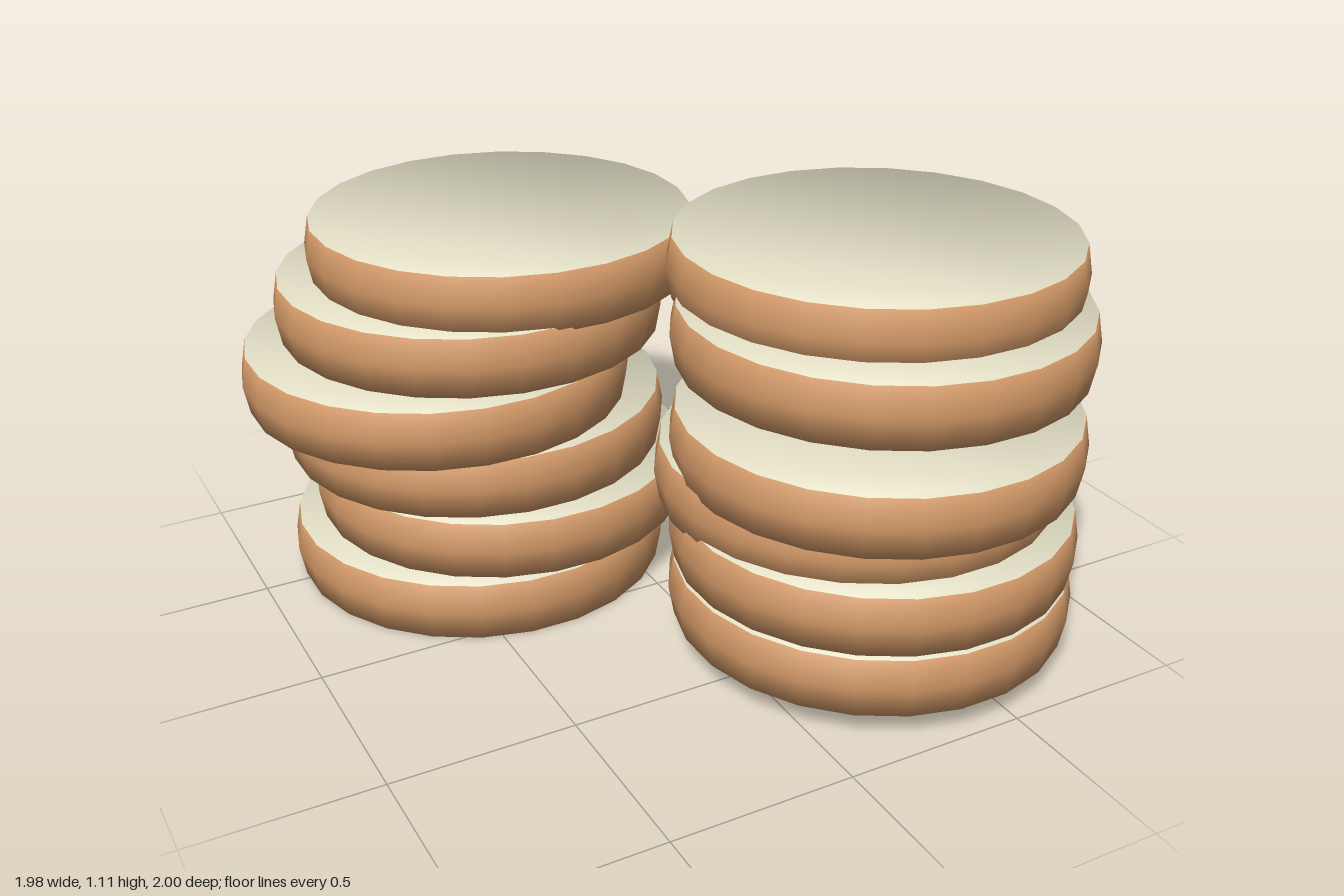
import * as THREE from 'three';

const SIDES = 24;
const HEIGHT = 0.163;

// One disc: three rings with softly rounded shared normals; group 0 is the crust, group 1 the top.
function discGeometry() {
  const rim = 0.527, belly = 0.542, tilt = 0.66;
  const rings = [
    { r: rim, y: 0, nr: Math.sin(tilt), ny: -Math.cos(tilt) },
    { r: belly, y: HEIGHT / 2, nr: 1, ny: 0 },
    { r: rim, y: HEIGHT, nr: Math.sin(tilt), ny: Math.cos(tilt) },
  ];
  const positions = [], normals = [], crust = [], top = [];
  for (const { r, y, nr, ny } of rings) {
    for (let i = 0; i < SIDES; i++) {
      const a = ((i + 0.5) / SIDES) * Math.PI * 2;
      positions.push(r * Math.sin(a), y, r * Math.cos(a));
      normals.push(nr * Math.sin(a), ny, nr * Math.cos(a));
    }
  }
  // Side bands
  for (let k = 0; k < 2; k++) {
    for (let i = 0; i < SIDES; i++) {
      const j = (i + 1) % SIDES;
      const a = k * SIDES + i, b = k * SIDES + j;
      crust.push(a, b, b + SIDES, a, b + SIDES, a + SIDES);
    }
  }
  // Bottom and top caps
  const t = 2 * SIDES;
  for (let i = 1; i < SIDES - 1; i++) {
    crust.push(0, i + 1, i);
    top.push(t, t + i, t + i + 1);
  }
  const g = new THREE.BufferGeometry();
  g.setAttribute('position', new THREE.Float32BufferAttribute(positions, 3));
  g.setAttribute('normal', new THREE.Float32BufferAttribute(normals, 3));
  g.setIndex([...crust, ...top]);
  g.addGroup(0, crust.length, 0);
  g.addGroup(crust.length, top.length, 1);
  return g;
}

export function createModel() {
  const crust = new THREE.MeshStandardMaterial({ color: 0xcc9464 });
  crust.name = 'crust brown';
  const cream = new THREE.MeshStandardMaterial({ color: 0xe2dec5 });
  cream.name = 'cream top';
  const geometry = discGeometry();

  // Disc positions [x, base y, z], from the bottom up
  const stacks = {
    backStack: [
      [-0.35, 0, -0.463], [-0.275, 0.17, -0.463], [-0.35, 0.375, -0.463],
      [-0.458, 0.541, -0.463], [-0.35, 0.723, -0.463], [-0.248, 0.871, -0.463],
    ],
    frontStack: [
      [0.398, 0.078, 0.463], [0.398, 0.254, 0.463], [0.398, 0.391, 0.38],
      [0.398, 0.526, 0.463], [0.398, 0.812, 0.463], [0.452, 0.942, 0.342],
    ],
  };

  const model = new THREE.Group();
  model.name = 'discStacks';
  for (const [name, places] of Object.entries(stacks)) {
    const stack = new THREE.Group();
    stack.name = name;
    places.forEach((p, i) => {
      const disc = new THREE.Mesh(geometry, [crust, cream]);
      disc.name = `disc${i + 1}`;
      disc.position.set(...p);
      stack.add(disc);
    });
    model.add(stack);
  }
  return model;
}
